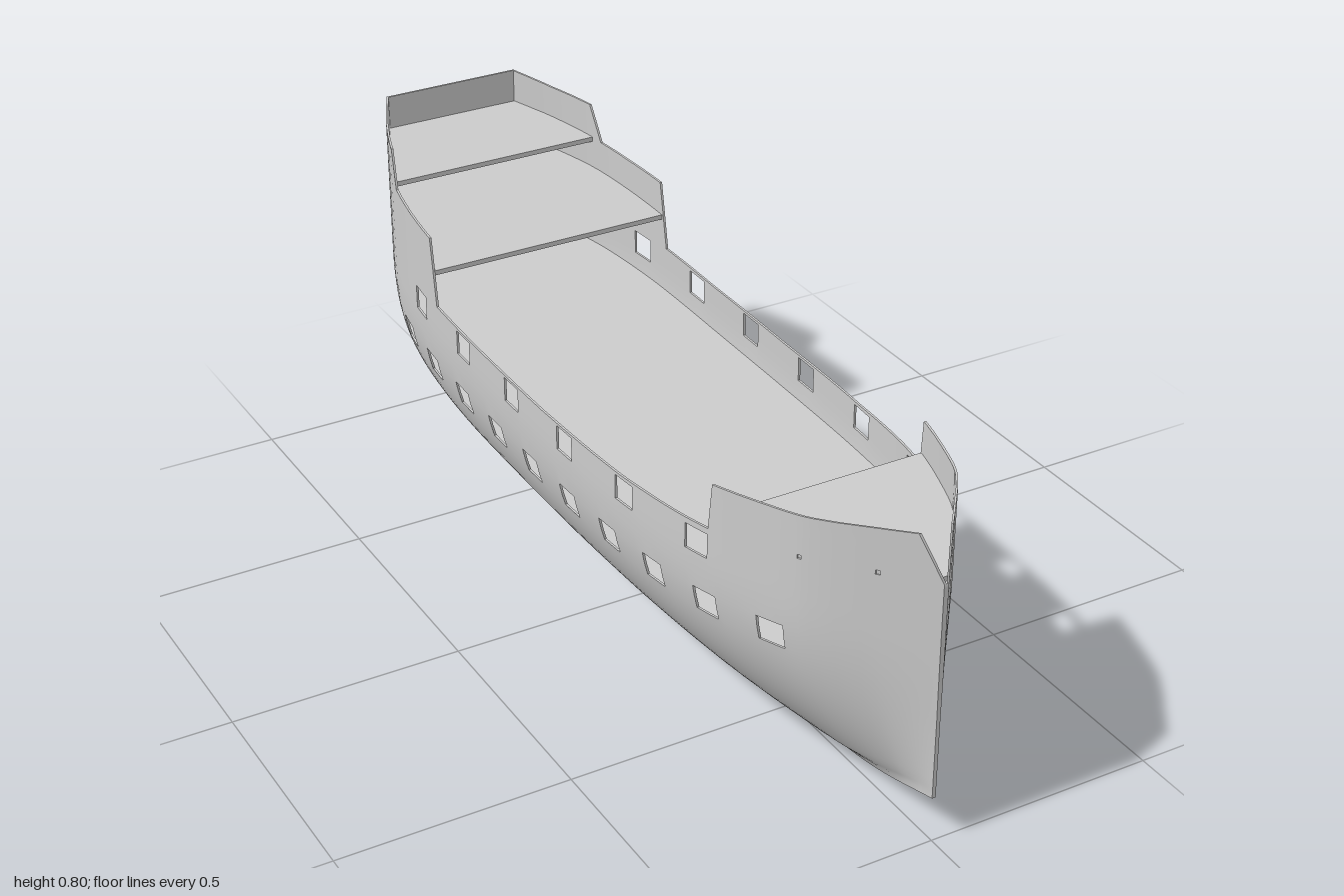
import * as THREE from 'three';
import { toCreasedNormals } from 'three/addons/utils/BufferGeometryUtils.js';

const WALL = 0.005;

// Smooth interpolation through a short table of [z, value], z ascending
function smooth(pts) {
  const slope = (i) => {
    const a = pts[Math.max(i - 1, 0)], b = pts[Math.min(i + 1, pts.length - 1)];
    return (b[1] - a[1]) / (b[0] - a[0]);
  };
  return (z) => {
    let i = 0;
    while (i < pts.length - 2 && z > pts[i + 1][0]) i++;
    const [z0, v0] = pts[i], [z1, v1] = pts[i + 1];
    const d = z1 - z0, t = (z - z0) / d, t2 = t * t, t3 = t2 * t;
    return (2 * t3 - 3 * t2 + 1) * v0 + (t3 - 2 * t2 + t) * d * slope(i)
      + (3 * t2 - 2 * t3) * v1 + (t3 - t2) * d * slope(i + 1);
  };
}
function linear(pts) {
  return (z) => {
    let i = 0;
    while (i < pts.length - 2 && z > pts[i + 1][0]) i++;
    const [z0, v0] = pts[i], [z1, v1] = pts[i + 1];
    return v0 + (v1 - v0) * (z - z0) / (z1 - z0);
  };
}

// Hull lines: half breadth, keel height and stepped rail height along z
const breadth = smooth([[-1, 0.16], [-0.9, 0.208], [-0.78, 0.25], [-0.65, 0.273], [-0.5, 0.286], [-0.25, 0.29],
  [0, 0.289], [0.25, 0.281], [0.45, 0.263], [0.58, 0.238], [0.7, 0.2], [0.8, 0.158], [0.9, 0.084], [1, 0.005]]);
const keel = smooth([[-1, 0.055], [-0.9, 0.037], [-0.7, 0.018], [-0.4, 0.006], [0, 0], [0.4, 0.01],
  [0.65, 0.025], [0.82, 0.05], [1, 0.1]]);
const railPts = [[-1, 0.797], [-0.9, 0.782], [-0.785, 0.772], [-0.75, 0.69], [-0.65, 0.682], [-0.525, 0.675], [-0.5, 0.522],
  [-0.3, 0.516], [0, 0.513], [0.3, 0.518], [0.572, 0.532], [0.582, 0.632], [0.78, 0.65], [0.96, 0.67], [1, 0.575]];
const rail = linear(railPts);

// Section: straight bottom plank up to a low chine, then a full round bilge
const FULL = 0.46, CHINE = 0.1, CHINE_X = 0.24;
const chine = (z) => THREE.MathUtils.lerp(keel(z), FULL, CHINE);
function hullX(y, z) {
  const k = keel(z), t = THREE.MathUtils.clamp((y - k) / (FULL - k), 0, 1);
  const u = Math.max(0, (t - CHINE) / (1 - CHINE));
  const f = t < CHINE ? t / CHINE * CHINE_X : CHINE_X + (1 - CHINE_X) * (1 - (1 - u) ** 2.3);
  return Math.max(0.004, breadth(z) * f);
}

// Port rows: centre heights follow the sheer, which rises more towards the bow
const lowY = (z) => 0.34 + (z > 0 ? 0.054 : 0.03) * z * z;
const upY = (z) => 0.481 + (z > 0 ? 0.032 : 0.022) * z * z;
const lowPorts = Array.from({ length: 10 }, (_, i) => 0.716 - i * 0.1592);
const upPorts = Array.from({ length: 6 }, (_, i) => 0.54 - i * 0.227);
const hawse = [0.778, 0.903];
const PORT = 0.03, HAWSE = 0.004;

// Bands from keel to rail: [height at z, rows in band, hole centres, hole half width]
const bands = [
  [keel, 3, [], 0],
  [chine, 14, [], 0],
  [(z) => lowY(z) - 0.027, 2, lowPorts, PORT],
  [(z) => lowY(z) + 0.027, 2, [], 0],
  [(z) => upY(z) - 0.027, 2, upPorts, PORT],
  [(z) => upY(z) + 0.027, 1, [], 0],
  [(z) => THREE.MathUtils.lerp(upY(z) + 0.027, rail(z), 0.25), 1, hawse, HAWSE],
  [(z) => THREE.MathUtils.lerp(upY(z) + 0.027, rail(z), 0.32), 3, [], 0],
  [rail, 0, [], 0],
];

function geometryFrom(tris) {
  const g = new THREE.BufferGeometry();
  g.setAttribute('position', new THREE.Float32BufferAttribute(tris, 3));
  return toCreasedNormals(g, 0.5);
}
const quad = (out, a, b, c, d) => out.push(...a, ...b, ...c, ...a, ...c, ...d);

// One side of the planked shell, with thickness and open ports
function hullSide(side) {
  const set = new Set(railPts.map((p) => p[0]));
  for (const [, , centres, half] of bands) for (const c of centres) set.add(c - half).add(c + half);
  for (let i = 0; i <= 50; i++) {
    const z = -1 + i * 0.04;
    if (![...set].some((s) => Math.abs(s - z) < 0.008)) set.add(z);
  }
  const zs = [...set].sort((a, b) => a - b);

  const rows = [];
  bands.forEach(([, n], b) => { for (let r = 0; r < n; r++) rows.push([b, r / n]); });
  rows.push([bands.length - 1, 0]);

  const outer = zs.map((z) => rows.map(([b, f]) => {
    const y0 = bands[b][0](z), y1 = f ? bands[b + 1][0](z) : y0;
    const y = y0 + (y1 - y0) * f;
    return [side * hullX(y, z), y, z];
  }));
  const inner = outer.map((col) => col.map(([x, y, z]) => [side * Math.max(0, Math.abs(x) - WALL), y, z]));

  const solid = (i, j) => {
    if (i < 0 || j < 0 || i >= zs.length - 1 || j >= rows.length - 1) return false;
    const [, , centres, half] = bands[rows[j][0]];
    const mid = (zs[i] + zs[i + 1]) / 2;
    return !centres.some((c) => Math.abs(mid - c) < half);
  };

  const tris = [];
  const face = (a, b, c, d) => (side > 0 ? quad(tris, a, b, c, d) : quad(tris, d, c, b, a));
  for (let i = 0; i < zs.length - 1; i++) {
    for (let j = 0; j < rows.length - 1; j++) {
      if (!solid(i, j)) continue;
      const loop = [[i, j], [i, j + 1], [i + 1, j + 1], [i + 1, j]];
      const o = loop.map(([a, b]) => outer[a][b]), n = loop.map(([a, b]) => inner[a][b]);
      face(...o);
      face(n[3], n[2], n[1], n[0]);
      // Close the wall wherever the neighbouring cell is open
      [[i - 1, j], [i, j + 1], [i + 1, j], [i, j - 1]].forEach(([a, b], e) => {
        const f = (e + 1) % 4;
        if (!solid(a, b)) face(o[f], o[e], n[e], n[f]);
      });
    }
  }
  return geometryFrom(tris);
}

// Deck plate fitted inside the hull between z0 (aft) and z1 (forward)
function deck(z0, z1, height) {
  const n = 32, tris = [], rings = [];
  for (let i = 0; i <= n; i++) {
    const z = z0 + (z1 - z0) * i / n, y = height(z), b = y - 0.011;
    const w = Math.max(0.001, hullX(y, z) - WALL / 2), v = Math.max(0.001, hullX(b, z) - WALL / 2);
    rings.push([[w, y, z], [-w, y, z], [-v, b, z], [v, b, z]]);
  }
  for (let i = 0; i < n; i++) {
    for (let e = 0; e < 4; e++) {
      const f = (e + 1) % 4;
      quad(tris, rings[i][e], rings[i][f], rings[i + 1][f], rings[i + 1][e]);
    }
  }
  quad(tris, ...rings[n]);
  quad(tris, ...[...rings[0]].reverse());
  return geometryFrom(tris);
}

// Flat stern plate following the aftmost hull section
function transom() {
  const right = [], k = keel(-1);
  for (let i = 0; i <= 20; i++) {
    const y = k + (FULL - k) * i / 20;
    right.push(new THREE.Vector2(hullX(y, -1), y));
  }
  right.push(new THREE.Vector2(breadth(-1), rail(-1)));
  const left = right.map((p) => new THREE.Vector2(-p.x, p.y)).reverse();
  const g = new THREE.ExtrudeGeometry(new THREE.Shape([...right, ...left]), { depth: WALL, bevelEnabled: false });
  return g.translate(0, 0, -1);
}

export function createModel() {
  const model = new THREE.Group();
  model.name = 'shipHull';
  const grey = new THREE.MeshStandardMaterial({ color: 0xcccccc });
  grey.name = 'hull grey';
  const add = (name, geometry) => {
    const mesh = new THREE.Mesh(geometry, grey);
    mesh.name = name;
    model.add(mesh);
  };

  add('leftHullSide', hullSide(1));
  add('rightHullSide', hullSide(-1));
  add('transom', transom());

  add('lowerDeck', deck(-0.996, 0.97, (z) => 0.27 + 0.04 * z * z));
  add('mainDeck', deck(-0.996, 0.98, (z) => 0.41 + 0.035 * z * z));
  add('foreDeck', deck(0.577, 0.985, (z) => 0.56 + 0.05 * (z - 0.577)));
  add('quarterDeck', deck(-0.996, -0.518, (z) => 0.599 + 0.084 * (-0.518 - z)));
  add('poopDeck', deck(-0.996, -0.777, (z) => 0.695 + 0.12 * (-0.777 - z)));
  return model;
}
